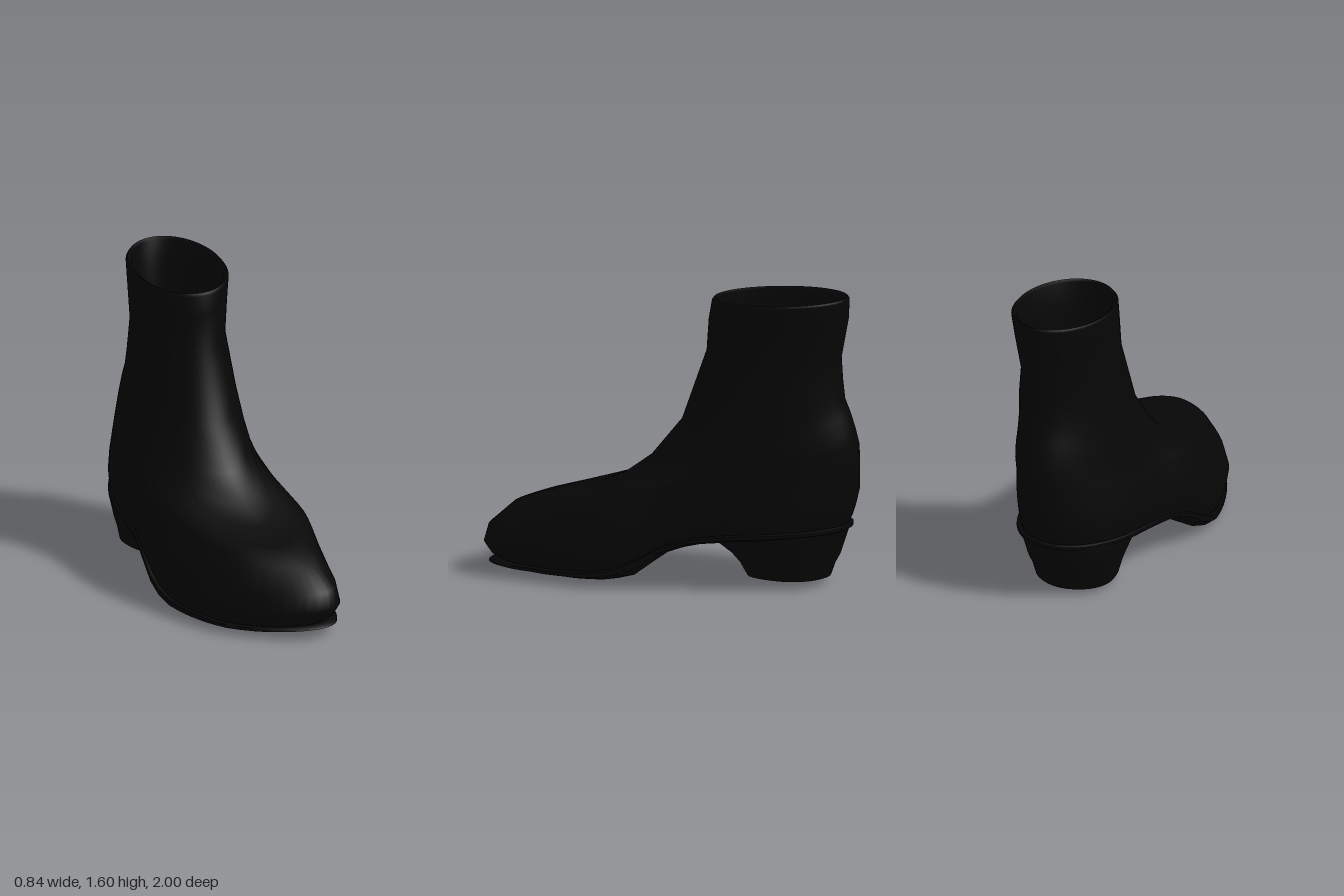
import * as THREE from 'three';
import { toCreasedNormals } from 'three/addons/utils/BufferGeometryUtils.js';

const SEG = 64;

// piecewise-linear curve through [z, value] points
function curve(points) {
  return (z) => {
    if (z <= points[0][0]) return points[0][1];
    for (let i = 1; i < points.length; i++) {
      const [z0, y0] = points[i - 1], [z1, y1] = points[i];
      if (z <= z1) return y0 + (y1 - y0) * (z - z0) / (z1 - z0);
    }
    return points[points.length - 1][1];
  };
}

const soleTop = curve([[-1, 0.342], [-0.4, 0.3], [-0.2, 0.275], [0, 0.215],
  [0.15, 0.125], [0.3, 0.07], [0.6, 0.05], [1, 0.06]]);
const soleBottom = curve([[-1, 0.295], [-0.4, 0.25], [-0.2, 0.225], [-0.05, 0.19], [0, 0.155],
  [0.15, 0.04], [0.28, 0.008], [0.45, 0], [0.8, 0.012], [1, 0.03]]);

// plan of the foot: sideways bend, and narrow waist with a broad ball
const bend = curve([[0, 0], [0.15, 0.018], [0.36, 0.052], [0.7, 0.1], [0.86, 0.16], [1, 0.232]]);
const breadth = curve([[-0.8, 1], [-0.6, 0.97], [-0.4, 0.91], [-0.2, 0.88], [0, 0.94],
  [0.15, 1.01], [0.36, 1.05], [0.86, 1.06]]);

// straight tilt from the front point to the back point of a ring
const tilt = (zF, yF, zB, yB) => (z) => yF + (yB - yF) * (zF - z) / (zF - zB);

// ring: front z, back z, half width, centre x, height rule,
// front and back squareness (under 1 is square, over 1 is pointed)
const ring = (zF, zB, w, c, y, pF = 1, pB = 1) => ({ zF, zB, w, c, y, pF, pB });
const tilted = (zF, yF, zB, yB, w, c, pF) => ring(zF, zB, w, c, tilt(zF, yF, zB, yB), pF);

// skin a stack of rings; the foot plan fades out up the shaft, and the boot leans slightly
function loft(rings, crease) {
  const pos = [], index = [];
  for (const r of rings) {
    for (let j = 0; j < SEG; j++) {
      const a = (j / SEG) * Math.PI * 2, s = Math.sin(a);
      const z = (r.zF + r.zB) / 2 + Math.cos(a) * (r.zF - r.zB) / 2;
      const y = r.y(z);
      const foot = THREE.MathUtils.clamp((0.85 - y) / 0.45, 0, 1);
      const side = Math.sign(s) * Math.abs(s) ** (Math.cos(a) > 0 ? r.pF : r.pB);
      const x = r.c + bend(z) + r.w * side * (1 + foot * (breadth(z) - 1));
      pos.push(x, y + 0.04 * (x + 0.2), z);
    }
  }
  for (let i = 0; i < rings.length - 1; i++) {
    for (let j = 0; j < SEG; j++) {
      const k = (j + 1) % SEG;
      const a = i * SEG + j, b = i * SEG + k, c = a + SEG, d = b + SEG;
      index.push(a, b, d, a, d, c);
    }
  }
  const geo = new THREE.BufferGeometry();
  geo.setAttribute('position', new THREE.Float32BufferAttribute(pos, 3));
  geo.setIndex(index);
  if (crease) return toCreasedNormals(geo, crease);
  geo.computeVertexNormals();
  return geo;
}

export function createModel() {
  const boot = new THREE.Group();
  boot.name = 'ankleBoot';
  const leather = new THREE.MeshStandardMaterial({ color: 0x060606 });
  leather.name = 'black leather';
  const add = (name, geo) => {
    const mesh = new THREE.Mesh(geo, leather);
    mesh.name = name;
    boot.add(mesh);
  };

  // foot and shaft, from the welt up to the collar
  const rim = tilted(-0.222, 1.55, -0.945, 1.592, 0.24, 0.04);
  add('upper', loft([
    ring(0.91, -0.93, 0.385, -0.03, (z) => soleTop(z) - 0.01, 1, 0.92),
    ring(0.965, -0.95, 0.4, -0.03, (z) => soleTop(z) + 0.03, 1, 0.94),
    ring(1.0, -0.97, 0.405, -0.03, (z) => soleTop(z) + 0.09, 1, 0.97),
    ring(0.975, -0.995, 0.39, -0.023, (z) => soleTop(z) + 0.185),
    tilted(0.85, 0.36, -1.0, 0.7, 0.355, -0.01, 1.1),
    tilted(0.65, 0.41, -0.998, 0.78, 0.335, 0, 1.2),
    tilted(0.45, 0.458, -0.98, 0.86, 0.316, 0.005, 1.25),
    tilted(0.29, 0.525, -0.955, 0.94, 0.298, 0.008, 1.2),
    tilted(0.13, 0.645, -0.925, 1.02, 0.28, 0.015, 1.1),
    tilted(-0.04, 0.86, -0.915, 1.13, 0.257, 0.023),
    tilted(-0.175, 1.25, -0.908, 1.25, 0.226, 0.024),
    tilted(-0.19, 1.43, -0.95, 1.47, 0.238, 0.034),
    tilted(-0.21, 1.535, -0.955, 1.58, 0.25, 0.04),
    rim,
  ]));

  // rolled rim and lining, going down inside the shaft
  add('lining', loft([
    rim,
    tilted(-0.24, 1.54, -0.925, 1.58, 0.22, 0.04),
    tilted(-0.225, 1.42, -0.9, 1.46, 0.208, 0.025),
    tilted(-0.215, 1.25, -0.85, 1.25, 0.195, 0.01),
    tilted(-0.1, 0.87, -0.865, 1.1, 0.215, 0.005),
    tilted(-0.1, 0.45, -0.9, 0.6, 0.24, 0),
    tilted(-0.3, 0.45, -0.7, 0.55, 0, 0),
  ]));

  // arched outsole with a rounded edge and a projecting welt
  const mid = (z) => (soleTop(z) + soleBottom(z)) / 2;
  add('sole', loft([
    ring(0.75, -0.85, 0, -0.025, soleBottom),
    ring(0.86, -0.91, 0.32, -0.025, soleBottom, 1, 0.85),
    ring(0.93, -0.94, 0.38, -0.025, (z) => soleBottom(z) + 0.018, 1, 0.88),
    ring(0.975, -0.955, 0.407, -0.025, mid, 1, 0.9),
    ring(0.965, -0.955, 0.407, -0.025, (z) => soleTop(z) - 0.006, 1, 0.9),
    ring(0.94, -0.945, 0.395, -0.025, soleTop, 1, 0.9),
    ring(0.8, -0.8, 0, -0.025, soleTop),
  ], 0.9));

  // stacked heel with a square breast, tapering to a flat base and tucked into the sole
  add('heel', loft([
    ring(-0.5, -0.75, 0, -0.045, () => 0.03),
    ring(-0.4, -0.83, 0.22, -0.045, () => 0.03, 0.4, 1.1),
    ring(-0.36, -0.855, 0.237, -0.043, () => 0.1, 0.42, 1.1),
    ring(-0.31, -0.885, 0.258, -0.04, () => 0.155, 0.45, 1.1),
    ring(-0.2, -0.93, 0.295, -0.035, (z) => soleBottom(z) + 0.002, 0.55, 1.1),
    ring(-0.2, -0.935, 0.295, -0.03, mid, 0.6, 1.1),
    ring(-0.4, -0.75, 0, -0.03, mid),
  ], 0.7));

  return boot;
}
